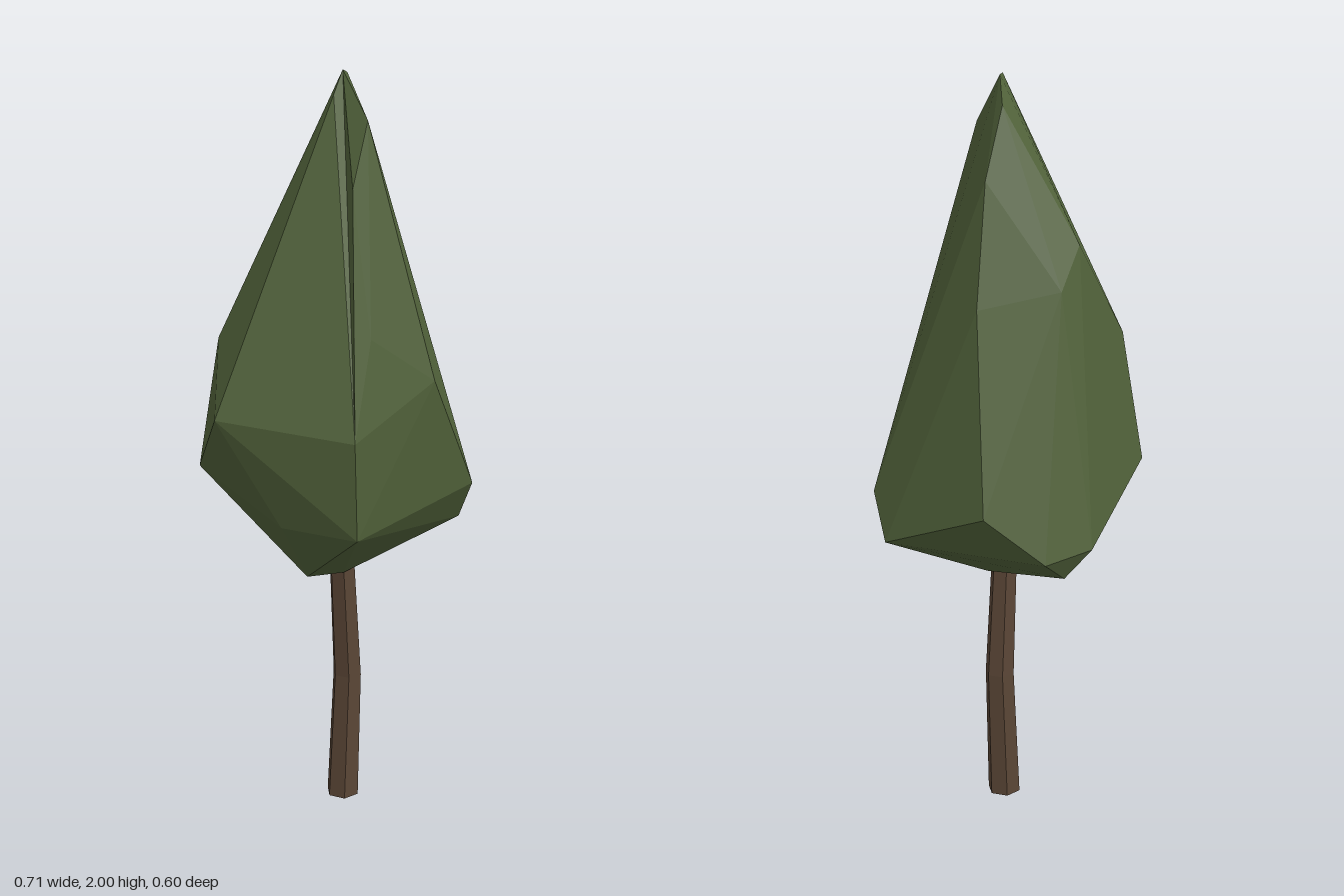
import * as THREE from 'three';
import { ConvexGeometry } from 'three/addons/geometries/ConvexGeometry.js';

const leafGreen = new THREE.MeshStandardMaterial({ color: 0x52633b });
const barkBrown = new THREE.MeshStandardMaterial({ color: 0x5a4636 });

// faceted hull around a few corner points
function facetedClump(name, points) {
  const geometry = new ConvexGeometry(points.map((p) => new THREE.Vector3(...p)));
  const mesh = new THREE.Mesh(geometry, leafGreen);
  mesh.name = name;
  return mesh;
}

// six-sided trunk, bent by sliding each ring of vertices sideways
function buildTrunk() {
  const rings = [
    { y: 0, x: 0.033, z: 0.044 },
    { y: 0.37, x: 0.045, z: 0.047 },
    { y: 0.74, x: 0.02, z: 0.052 },
  ];
  let geometry = new THREE.CylinderGeometry(0.036, 0.047, 0.74, 6, 2);
  geometry.rotateY(Math.PI / 6);
  geometry.translate(0, 0.37, 0);
  const pos = geometry.attributes.position;
  for (let i = 0; i < pos.count; i++) {
    const ring = rings[Math.round(pos.getY(i) / 0.37)];
    pos.setXYZ(i, pos.getX(i) + ring.x, ring.y, pos.getZ(i) + ring.z);
  }
  geometry = geometry.toNonIndexed();
  geometry.computeVertexNormals();
  const mesh = new THREE.Mesh(geometry, barkBrown);
  mesh.name = 'trunk';
  return mesh;
}

export function createModel() {
  const model = new THREE.Group();
  model.name = 'tree';

  // corners shared by both clumps
  const crown = [[0.005, 2, 0.07], [0.045, 1.995, 0.035], [0.085, 1.92, -0.02]];
  const rightRidge = [[0.155, 1.74, -0.035], [0.22, 1.43, -0.075], [0.28, 0.92, -0.165]];
  const frontRim = [[0.13, 1.24, 0.298], [-0.12, 1.11, 0.295], [-0.1, 0.85, 0.28],
    [0.33, 0.92, 0.23], [0.355, 0.8, 0.15]];

  // main crown: widest rim, back and underside
  const mainFoliage = facetedClump('mainFoliage', [
    ...crown, ...rightRidge, ...frontRim,
    [-0.03, 1.94, 0.08],
    [-0.355, 1.15, 0.02], [-0.29, 0.98, -0.17], [-0.25, 1.33, -0.125],
    [-0.045, 1.58, -0.165], [0.035, 1.47, -0.185],
    [0.03, 0.82, -0.3], [0.165, 0.8, -0.27], [0.08, 0.74, -0.25],
    [-0.21, 0.86, 0.1],
    [-0.1, 0.69, 0.06], [0, 0.69, 0.09], [0.1, 0.69, 0.03], [0.03, 0.69, -0.05],
  ]);

  // raised fold down the front, standing proud of the main crown
  const frontFold = facetedClump('frontFold', [
    ...crown, ...rightRidge, ...frontRim,
    [0, 1.88, 0.18], [-0.06, 1.72, 0.2], [-0.05, 1.36, 0.265],
    [0.07, 1.44, 0.255], [0.165, 1.6, 0.06],
  ]);

  model.add(mainFoliage, frontFold, buildTrunk());
  return model;
}
